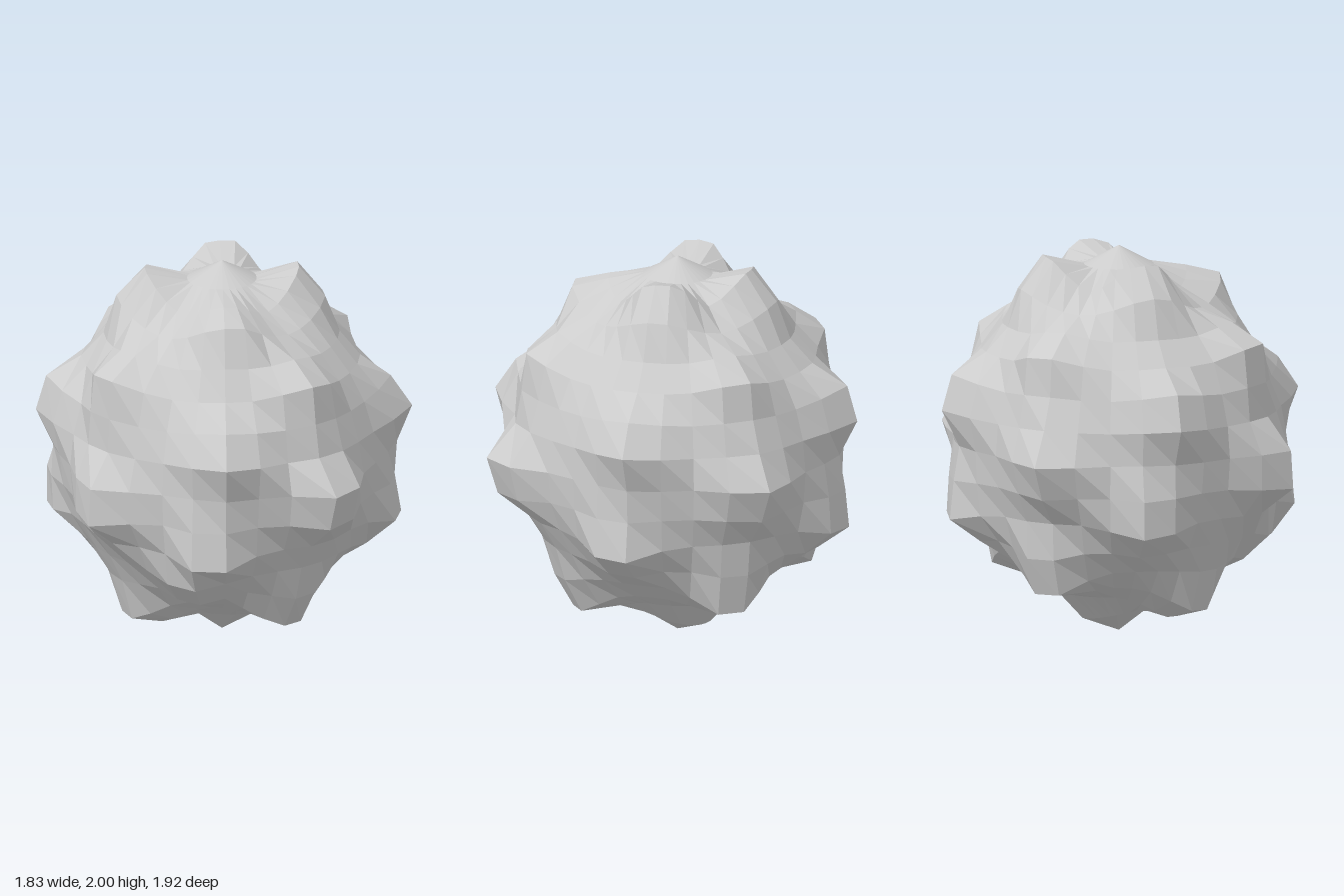
import * as THREE from 'three';

// Bumps: [elevation, azimuth, peak radius]; azimuth runs from +x towards +z, in degrees
const bumps = [
  [90, 0, 0.99], [-87, -45, 1.01],
  [66, 18, 1.03], [65, 202, 1.03], [66, 294, 1.03], [59, 110, 0.98],
  [34, 79, 0.97], [34, 161, 0.98], [35, 251, 0.96], [34, -18, 0.95],
  [13, 22, 0.99], [13, 112, 0.99], [17, 202, 0.98], [17, 292, 0.99],
  [-4, 75, 1.03], [-7, 159, 1.005], [-1, 247, 1.0], [-1, -22, 1.0],
  [-23, 27, 0.99], [-22, 118, 0.99], [-21, 212, 0.98], [-22, 296, 0.99],
  [-37, 126, 0.95],
  [-45, -18, 1.015], [-43, 254, 1.01], [-55, 74, 1.0], [-60, 173, 1.01],
];
const BASE = 0.84, WIDTH = 0.21;

const rad = THREE.MathUtils.degToRad;
const centres = bumps.map(([el, az, peak]) => ({
  dir: new THREE.Vector3(
    Math.cos(rad(el)) * Math.cos(rad(az)), Math.sin(rad(el)), Math.cos(rad(el)) * Math.sin(rad(az))),
  height: peak - BASE,
}));

// Radius of the surface in a direction: the strongest bump wins
function radiusAt(dir) {
  let lift = 0;
  for (const { dir: c, height } of centres) {
    const d = dir.angleTo(c) / WIDTH;
    lift = Math.max(lift, height * Math.min(1, 1.15 * Math.exp(-d * d)));
  }
  return BASE + lift;
}

export function createModel() {
  const group = new THREE.Group();
  group.name = 'bumpyBall';

  // Faceted ball, pushed outwards at each bump
  const geometry = new THREE.SphereGeometry(1, 32, 16);
  const pos = geometry.attributes.position;
  const v = new THREE.Vector3();
  for (let i = 0; i < pos.count; i++) {
    v.fromBufferAttribute(pos, i).normalize();
    v.multiplyScalar(radiusAt(v));
    pos.setXYZ(i, v.x, v.y, v.z);
  }
  geometry.computeVertexNormals();

  const ball = new THREE.Mesh(
    geometry, new THREE.MeshStandardMaterial({ color: 0xcccccc, flatShading: true }));
  ball.name = 'lumpySurface';
  ball.position.set(0, 1.01, -0.04);
  group.add(ball);
  return group;
}
